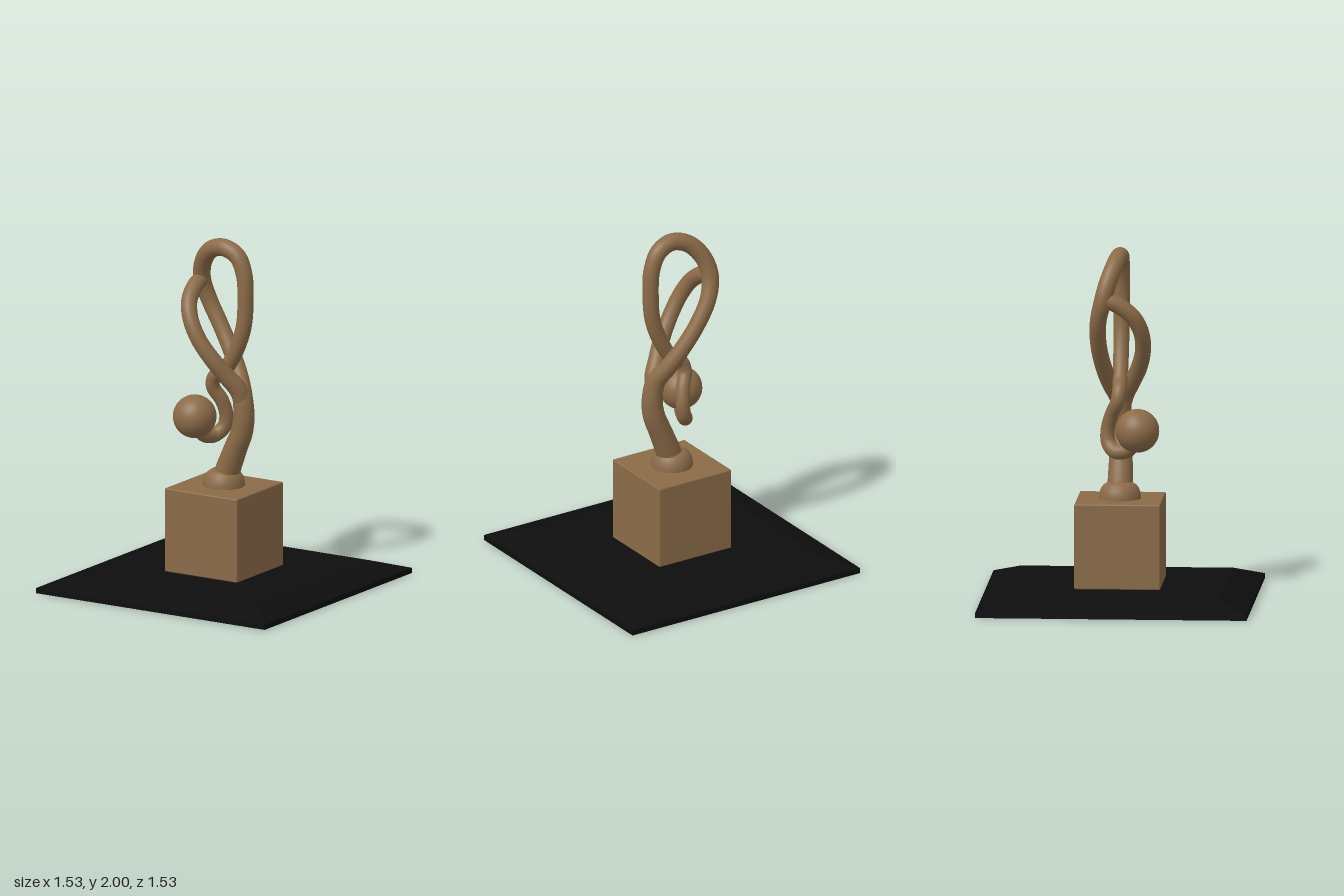
import * as THREE from 'three';
import { RoundedBoxGeometry } from 'three/addons/geometries/RoundedBoxGeometry.js';

const bronze = new THREE.MeshStandardMaterial({ color: 0x8b6b48 });
bronze.name = 'bronze';
const black = new THREE.MeshStandardMaterial({ color: 0x0d0d0d });
black.name = 'black';

function addPart(group, name, geometry, material) {
  const mesh = new THREE.Mesh(geometry, material);
  mesh.name = name;
  group.add(mesh);
  return mesh;
}

// Smooth tube through [x, y, z, radius] stations
function taperedTube(stations, segments, sides = 24) {
  const curve = new THREE.CatmullRomCurve3(stations.map(([x, y, z]) => new THREE.Vector3(x, y, z)));
  curve.arcLengthDivisions = 600;
  const geometry = new THREE.TubeGeometry(curve, segments, 1, sides, false);
  const position = geometry.attributes.position;
  const last = stations.length - 1;
  const v = new THREE.Vector3();
  for (let i = 0; i <= segments; i++) {
    const u = i / segments;
    const centre = curve.getPointAt(u);
    const s = curve.getUtoTmapping(u) * last;
    const k = Math.min(Math.floor(s), last - 1);
    const radius = THREE.MathUtils.lerp(stations[k][3], stations[k + 1][3], s - k);
    for (let j = 0; j <= sides; j++) {
      const n = i * (sides + 1) + j;
      v.fromBufferAttribute(position, n).sub(centre).multiplyScalar(radius).add(centre);
      position.setXYZ(n, v.x, v.y, v.z);
    }
  }
  return geometry;
}

const lathe = (points, segments) =>
  new THREE.LatheGeometry(points.map(([x, y]) => new THREE.Vector2(x, y)), segments);

export function createModel() {
  const model = new THREE.Group();
  model.name = 'sculpture';

  // Square base slab with sloping top edges
  const d = Math.SQRT2;
  const slab = lathe([[0, 0], [0.765 * d, 0], [0.765 * d, 0.03], [0.6 * d, 0.085], [0, 0.085]], 4)
    .rotateY(Math.PI / 4).toNonIndexed();
  slab.computeVertexNormals();
  addPart(model, 'baseSlab', slab, black);

  // Plinth block
  addPart(model, 'plinth', new RoundedBoxGeometry(0.485, 0.485, 0.485, 2, 0.008), bronze)
    .position.y = 0.328;

  // Domed foot of the stem
  addPart(model, 'foot', lathe([
    [0.118, 0.565], [0.118, 0.59], [0.11, 0.622], [0.095, 0.645], [0.07, 0.662], [0, 0.672],
  ], 40), bronze);

  // Stem, rear strand, top arch and the curling tail in one run
  addPart(model, 'stemAndLoop', taperedTube([
    [0, 0.58, 0, 0.078], [0.025, 0.66, 0, 0.072], [0.08, 0.8, 0, 0.066], [0.12, 0.9, 0, 0.063],
    [0.133, 1.0, 0, 0.06], [0.115, 1.12, -0.01, 0.056], [0.065, 1.21, -0.055, 0.05],
    [0, 1.31, -0.09, 0.047], [-0.095, 1.46, -0.115, 0.046], [-0.17, 1.6, -0.112, 0.047],
    [-0.2, 1.72, -0.085, 0.05], [-0.175, 1.83, -0.055, 0.05], [-0.1, 1.92, -0.02, 0.05],
    [0, 1.95, 0, 0.05], [0.09, 1.91, 0, 0.049], [0.135, 1.81, 0, 0.047], [0.144, 1.66, 0, 0.046],
    [0.13, 1.5, 0, 0.045], [0.07, 1.34, 0, 0.044], [0, 1.235, 0, 0.042], [-0.065, 1.19, 0, 0.04],
    [-0.08, 1.13, -0.01, 0.04], [-0.045, 1.05, -0.045, 0.04], [-0.028, 0.96, -0.068, 0.04],
    [-0.04, 0.89, -0.062, 0.041], [-0.075, 0.848, -0.02, 0.043], [-0.1, 0.86, 0.05, 0.043],
    [-0.12, 0.92, 0.1, 0.04],
  ], 320), bronze);

  // Front strand, branching from the stem and rejoining the loop high up
  addPart(model, 'frontStrand', taperedTube([
    [0.125, 1.06, 0, 0.05], [0.11, 1.14, 0.02, 0.052], [0.06, 1.22, 0.06, 0.05],
    [0, 1.31, 0.105, 0.047], [-0.08, 1.43, 0.135, 0.045], [-0.14, 1.54, 0.128, 0.045],
    [-0.178, 1.63, 0.085, 0.046], [-0.195, 1.7, 0, 0.047], [-0.198, 1.73, -0.08, 0.046],
  ], 100), bronze);

  // Ball at the end of the tail
  addPart(model, 'ball', new THREE.SphereGeometry(0.123, 40, 28), bronze)
    .position.set(-0.127, 0.975, 0.107);

  return model;
}
